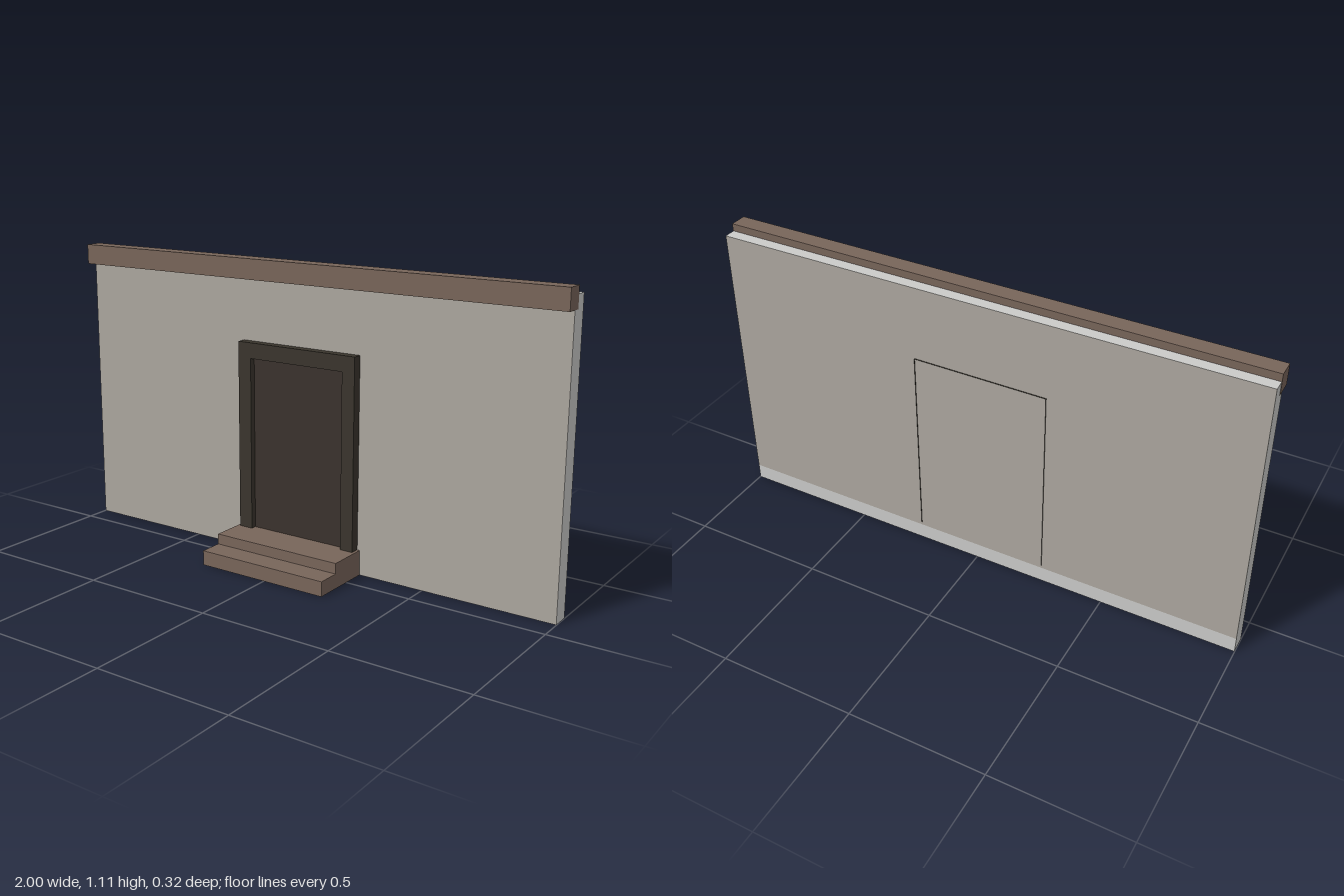
import * as THREE from 'three';

const flat = (name, color) => {
  const m = new THREE.MeshStandardMaterial({ color, side: THREE.DoubleSide });
  m.name = name;
  return m;
};

// Sweeps an open 2D path (x, y) along z into flat, separate panels
function ribbon(points, z0, z1) {
  const pos = [];
  for (let i = 0; i < points.length - 1; i++) {
    const [ax, ay] = points[i], [bx, by] = points[i + 1];
    pos.push(ax, ay, z0, ax, ay, z1, bx, by, z1, ax, ay, z0, bx, by, z1, bx, by, z0);
  }
  const g = new THREE.BufferGeometry();
  g.setAttribute('position', new THREE.Float32BufferAttribute(pos, 3));
  g.computeVertexNormals();
  return g;
}

// Flat polygon facing +z at depth z
function face(points, z) {
  const shape = new THREE.Shape(points.map(p => new THREE.Vector2(...p)));
  return new THREE.ShapeGeometry(shape).translate(0, 0, z);
}

const rect = (x0, x1, y0, y1) => [[x0, y0], [x1, y0], [x1, y1], [x0, y1]];
// Open-bottomed arch: up the left, across the top, down the right
const arch = (x0, x1, y0, y1) => [[x0, y0], [x0, y1], [x1, y1], [x1, y0]];

export function createModel() {
  const model = new THREE.Group();
  const plaster = flat('plaster', 0xaca79f);
  const edging = flat('pale edge', 0xcbcbc9);
  const wood = flat('brown wood', 0x78655a);
  const frameWood = flat('dark frame wood', 0x3a352d);
  const doorWood = flat('dark door wood', 0x3b322d);

  const add = (name, geometry, material, parent = model) => {
    const mesh = new THREE.Mesh(geometry, material);
    mesh.name = name;
    parent.add(mesh);
    return mesh;
  };
  const group = name => {
    const g = new THREE.Group();
    g.name = name;
    model.add(g);
    return g;
  };

  // Hollow wall, open underneath, with a pale strip low on its back
  const wall = group('wall');
  const W = 0.999, top = 1.08, front = -0.088, back = -0.154, strip = 0.06;
  add('wallFront', face(rect(-W, W, 0, top), front), plaster, wall);
  add('wallBack', face(rect(-W, W, strip, top), back), plaster, wall);
  add('wallBackStrip', face(rect(-W, W, 0, strip), back), edging, wall);
  add('wallEdges', ribbon(arch(-W, W, 0, top), back, front), edging, wall);

  // Beam along the top
  const beam = new THREE.BoxGeometry(2, 0.075, 0.064);
  add('topBeam', beam.translate(0, 1.07, -0.079), wood);

  // Door frame: an outer sleeve through the wall, front trim and inner jambs
  const doorway = group('doorway');
  const outer = arch(-0.265, 0.235, 0.072, 0.803);
  const inner = arch(-0.21, 0.184, 0.072, 0.745);
  add('frameSleeve', ribbon(outer, -0.158, -0.053), frameWood, doorway);
  add('frameTrim', face([...outer, ...[...inner].reverse()], -0.053), frameWood, doorway);
  add('frameJambs', ribbon(inner, -0.075, -0.053), frameWood, doorway);
  add('door', face(inner, -0.075), doorWood, doorway);

  // Two hollow steps; the profile is (z, y), turned to run along x
  const steps = group('steps');
  const profile = [[0.158, 0], [0.158, 0.055], [0.07, 0.055], [0.07, 0.094], [-0.087, 0.094]];
  const x0 = -0.275, x1 = 0.246;
  const turn = g => g.rotateY(-Math.PI / 2);
  add('treadsAndRisers', turn(ribbon(profile, -x1, -x0)), wood, steps);
  for (const x of [x0, x1]) {
    add(x < 0 ? 'rightStepSide' : 'leftStepSide',
      turn(face([...profile, [-0.087, 0]], -x)), wood, steps);
  }

  return model;
}
